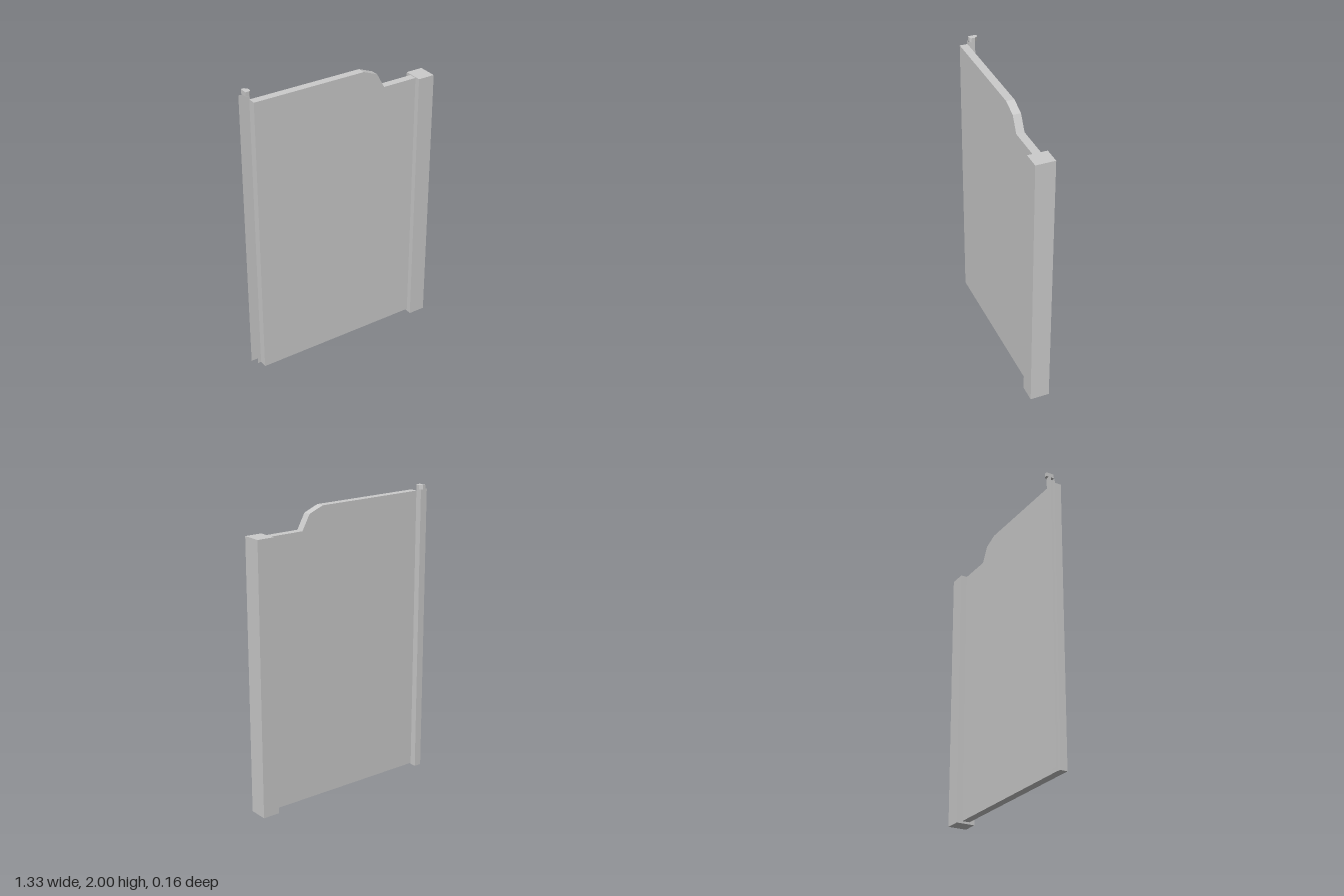
import * as THREE from 'three';

export function createModel() {
  const group = new THREE.Group();
  const solid = new THREE.MeshStandardMaterial({ color: 0xcccccc, flatShading: true });
  const sheet = new THREE.MeshStandardMaterial({ color: 0xcccccc, flatShading: true, side: THREE.DoubleSide });

  const add = (name, geometry, material = solid) => {
    const mesh = new THREE.Mesh(geometry, material);
    mesh.name = name;
    group.add(mesh);
    return mesh;
  };
  const outline = (points) => new THREE.Shape(points.map(([x, y]) => new THREE.Vector2(x, y)));

  // Flat panel with a stepped, sloping top edge
  const panel = add('panel', new THREE.ExtrudeGeometry(outline([
    [-0.62, 0.015], [0.55, 0.015], [0.55, 1.815], [0.305, 1.815],
    [0.25, 1.915], [0.15, 1.955], [-0.62, 1.955],
  ]), { depth: 0.053, bevelEnabled: false }));
  panel.position.z = -0.014;

  // Square end post
  const post = add('endPost', new THREE.BoxGeometry(0.116, 1.82, 0.13));
  post.position.set(0.605, 0.91, 0.011);

  // Thin folded channel: back plate, side and short front flange
  const fold = [[-0.664, -0.064], [-0.613, -0.064], [-0.613, -0.02], [-0.64, -0.02]];
  const bottom = 0.01, top = 1.972;
  const positions = [];
  for (let i = 0; i < fold.length - 1; i++) {
    const [ax, az] = fold[i], [bx, bz] = fold[i + 1];
    positions.push(ax, bottom, az, bx, top, bz, bx, bottom, bz);
    positions.push(ax, bottom, az, ax, top, az, bx, top, bz);
  }
  const channel = new THREE.BufferGeometry();
  channel.setAttribute('position', new THREE.Float32BufferAttribute(positions, 3));
  channel.computeVertexNormals();
  add('edgeChannel', channel, sheet);

  // Small cap on the channel, flat on one side and chamfered on the other
  const cap = new THREE.ExtrudeGeometry(outline([
    [-0.637, 0.025], [-0.61, 0.025], [-0.6, 0.036], [-0.6, 0.06], [-0.617, 0.08], [-0.637, 0.08],
  ]), { depth: 0.028, bevelEnabled: false });
  cap.rotateX(-Math.PI / 2);
  add('channelCap', cap).position.y = 1.972;

  return group;
}
